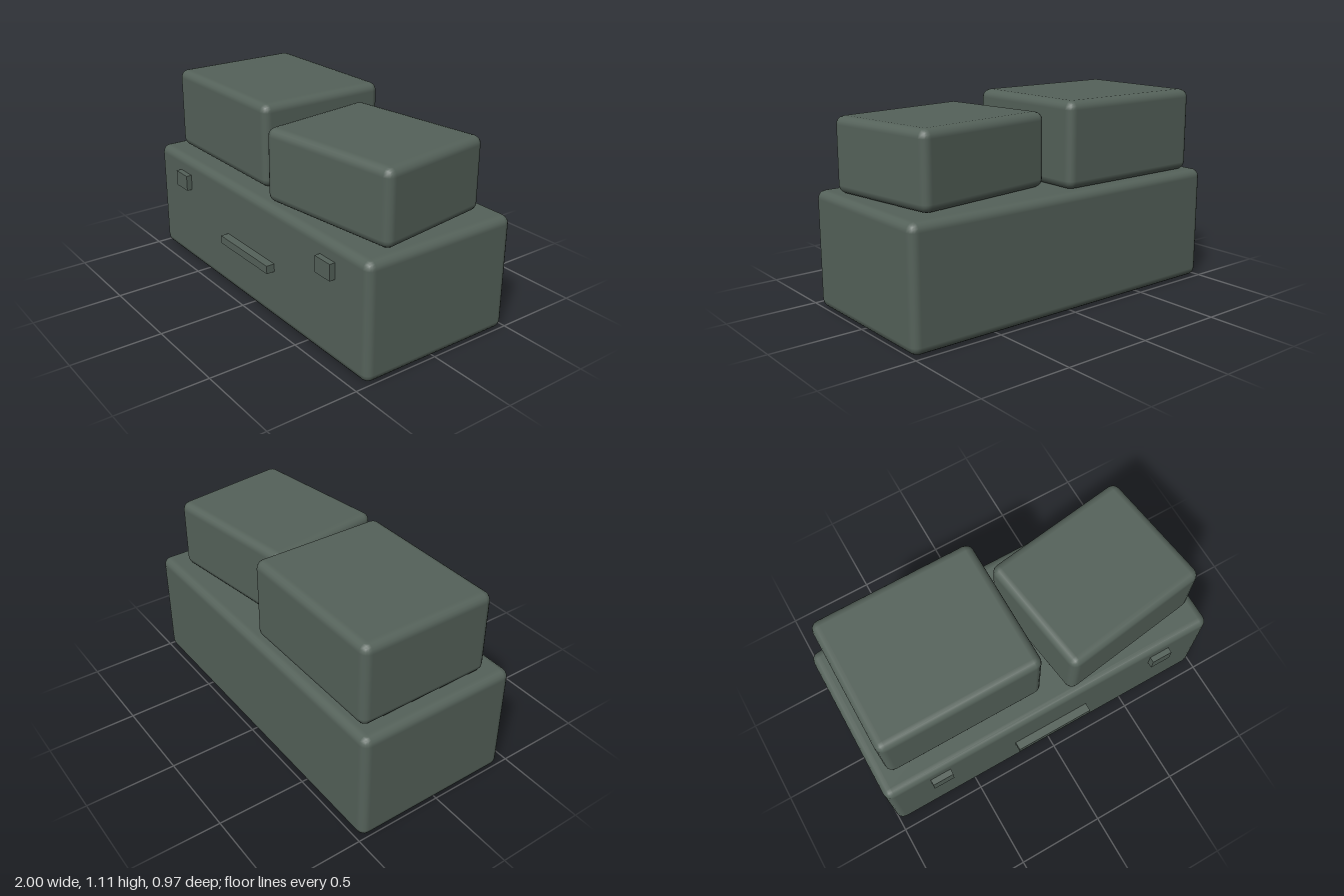
import * as THREE from 'three';
import { RoundedBoxGeometry } from 'three/addons/geometries/RoundedBoxGeometry.js';

export function createModel() {
  const group = new THREE.Group();
  const green = new THREE.MeshStandardMaterial({ color: 0x55625a });
  green.name = 'grey green';

  function add(name, geometry, x, y, z, turn = 0) {
    const mesh = new THREE.Mesh(geometry, green);
    mesh.name = name;
    mesh.position.set(x, y, z);
    mesh.rotation.y = turn;
    group.add(mesh);
  }

  const rounded = (w, h, d) => new RoundedBoxGeometry(w, h, d, 2, 0.046);

  // Large case with two smaller cases on top, one slightly turned
  add('largeCase', rounded(2, 0.645, 0.925), 0, 0.3225, -0.0225);
  add('tallTopCase', rounded(0.92, 0.465, 0.77), -0.463, 0.8775, -0.055);
  add('turnedTopCase', rounded(0.843, 0.403, 0.696), 0.49, 0.8465, 0.0075, 0.14);

  // Clasps and handle on the front, sunk slightly into the case
  for (const [name, side] of [['leftClasp', 1], ['rightClasp', -1]]) {
    add(name, new THREE.BoxGeometry(0.12, 0.09, 0.06), side * 0.69, 0.51, 0.442);
  }
  add('handle', new THREE.BoxGeometry(0.46, 0.045, 0.07), 0, 0.31, 0.452);

  return group;
}
